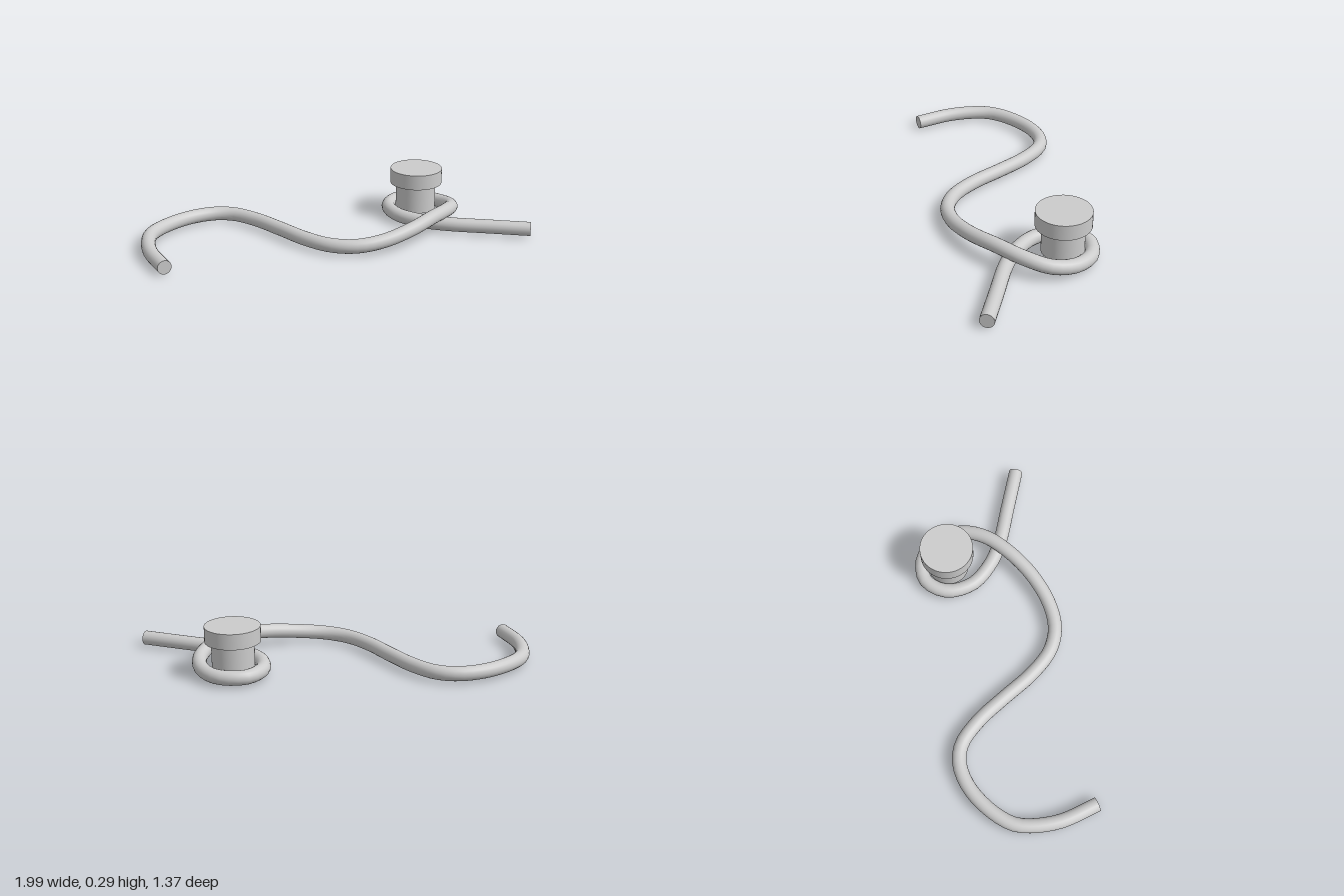
import * as THREE from 'three';

export function createModel() {
  const group = new THREE.Group();
  const material = new THREE.MeshStandardMaterial({ color: 0xcccccc });
  const add = (name, geometry, parent = group) => {
    const mesh = new THREE.Mesh(geometry, material);
    mesh.name = name;
    parent.add(mesh);
    return mesh;
  };

  // Centre line of the cable: a wave, then a loop that crosses under itself
  const path = new THREE.CatmullRomCurve3([
    [-0.96, 0.042, -0.125], [-0.925, 0.047, -0.34], [-0.855, 0.05, -0.49], [-0.79, 0.05, -0.565],
    [-0.66, 0.05, -0.625], [-0.49, 0.05, -0.65], [-0.35, 0.05, -0.62], [-0.265, 0.05, -0.55],
    [-0.205, 0.05, -0.40], [-0.172, 0.05, -0.20], [-0.145, 0.05, 0], [-0.09, 0.05, 0.165],
    [0.005, 0.054, 0.27], [0.15, 0.068, 0.328], [0.34, 0.094, 0.34], [0.54, 0.115, 0.305],
    [0.70, 0.105, 0.245], [0.81, 0.077, 0.15], [0.845, 0.056, 0.02], [0.805, 0.05, -0.11],
    [0.68, 0.05, -0.178], [0.555, 0.05, -0.115], [0.505, 0.05, 0.035], [0.555, 0.05, 0.20],
    [0.64, 0.05, 0.32], [0.80, 0.05, 0.485], [0.965, 0.05, 0.655],
  ].map(p => new THREE.Vector3(...p)));
  const radius = 0.04;
  const cable = new THREE.Group();
  cable.name = 'cable';
  group.add(cable);
  add('cableBody', new THREE.TubeGeometry(path, 100, radius, 20), cable);

  // Flat ends closing the cable
  for (const [name, t, sign] of [['cableStartCap', 0, -1], ['cableFinishCap', 1, 1]]) {
    const cap = add(name, new THREE.CircleGeometry(radius, 20), cable);
    cap.position.copy(path.getPointAt(t));
    cap.quaternion.setFromUnitVectors(
      new THREE.Vector3(0, 0, 1), path.getTangentAt(t).multiplyScalar(sign));
  }

  // Round peg with a wider head, standing inside the loop
  const peg = new THREE.Group();
  peg.name = 'peg';
  peg.position.set(0.68, 0, -0.016);
  group.add(peg);
  for (const [name, r, bottom, top] of [['pegStem', 0.116, 0.045, 0.205], ['pegHead', 0.151, 0.203, 0.29]]) {
    add(name, new THREE.CylinderGeometry(r, r, top - bottom, 48), peg).position.y = (top + bottom) / 2;
  }
  return group;
}
